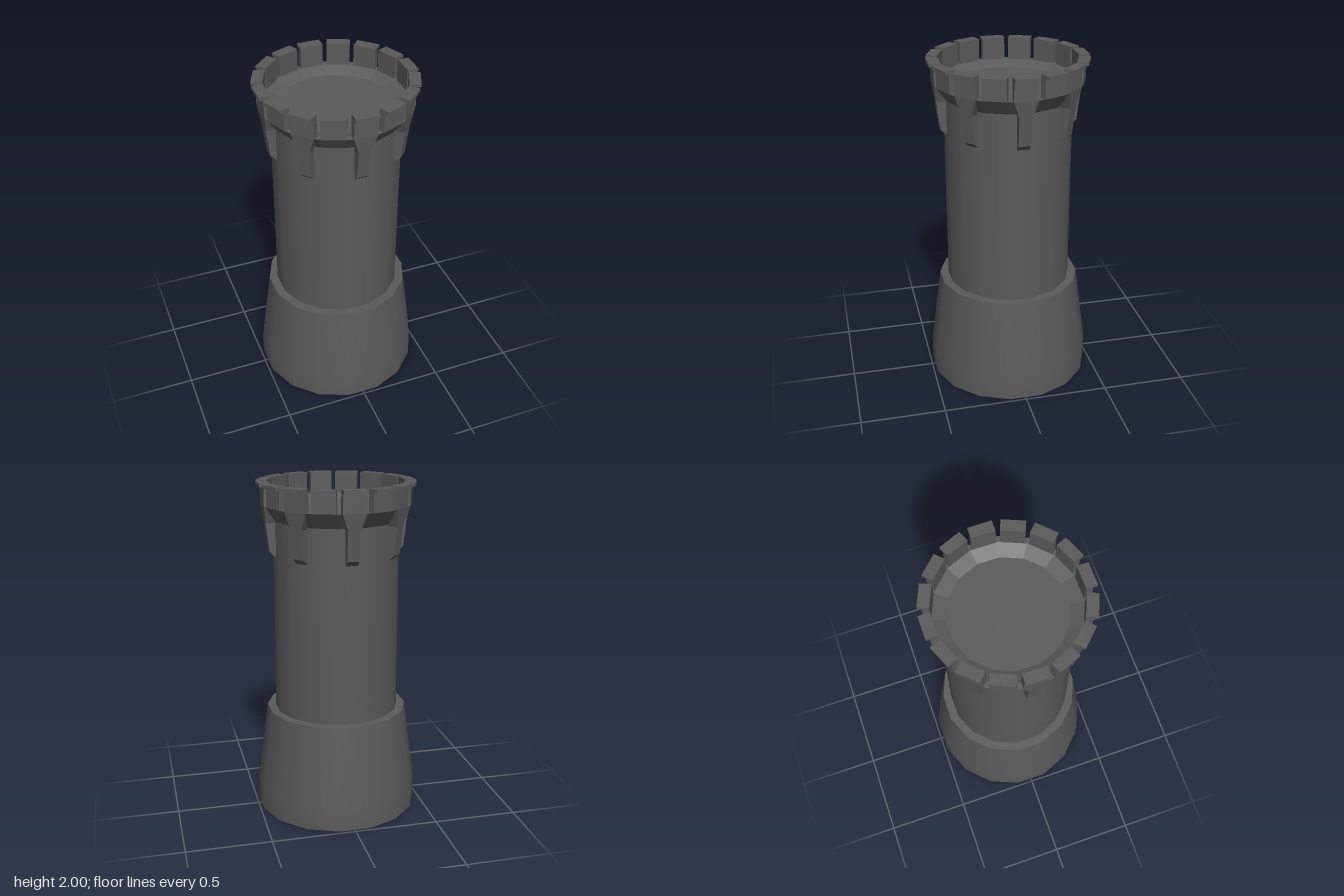
import * as THREE from 'three';

const SIDES = 16;
const STEP = (Math.PI * 2) / SIDES;

export function createModel() {
  const model = new THREE.Group();
  model.name = 'tower';
  const stone = new THREE.MeshStandardMaterial({ color: 0x5a5a5a, side: THREE.DoubleSide });
  stone.name = 'dark stone';

  const add = (name, geometry, parent = model) => {
    const mesh = new THREE.Mesh(geometry, stone);
    mesh.name = name;
    parent.add(mesh);
    return mesh;
  };

  // Sixteen-sided ring from [distance to flat side, height] points
  const ring = (name, profile, flat = false) => {
    const points = profile.map(([r, y]) => new THREE.Vector2(r / Math.cos(STEP / 2), y));
    let geometry = new THREE.LatheGeometry(points, SIDES, STEP / 2);
    if (flat) {
      geometry = geometry.toNonIndexed();
      geometry.computeVertexNormals();
    }
    return add(name, geometry);
  };

  // Walls, open underneath
  ring('base', [[0.48, 0], [0.48, 0.14], [0.415, 0.63]]);
  ring('baseLedge', [[0.415, 0.63], [0.365, 0.63]]);
  ring('shaft', [[0.365, 0.63], [0.365, 1.78]]);
  ring('flare', [[0.365, 1.78], [0.43, 1.87]], true);

  // Platform inside the battlements
  ring('rim', [[0.43, 1.87], [0.395, 1.87]]);
  ring('platformSlope', [[0.395, 1.87], [0.32, 1.84]], true);
  ring('platformFloor', [[0.32, 1.84], [0, 1.84]]);

  // Merlons with a thin overhanging cap
  const body = new THREE.BoxGeometry(0.135, 0.11, 0.04).translate(0, 1.925, 0.415);
  const cap = new THREE.BoxGeometry(0.135, 0.02, 0.065).translate(0, 1.99, 0.4275);
  for (let i = 0; i < SIDES; i++) {
    const merlon = new THREE.Group();
    merlon.name = 'merlon' + (i + 1);
    merlon.rotation.y = i * STEP;
    add('merlonBody', body, merlon);
    add('merlonCap', cap, merlon);
    model.add(merlon);
  }

  // Corbels under every second merlon
  const corbel = corbelGeometry();
  for (let i = 0; i < SIDES; i += 2) {
    add('corbel' + (i / 2 + 1), corbel).rotation.y = i * STEP;
  }
  return model;
}

// Bracket lofted through rectangles: height, inner depth, outer depth, half width
function corbelGeometry() {
  const sections = [
    [1.572, 0.35, 0.367, 0.035],
    [1.603, 0.35, 0.402, 0.035],
    [1.77, 0.35, 0.422, 0.035],
    [1.87, 0.41, 0.435, 0.0675],
  ];
  const positions = [];
  const index = [];
  for (const [y, inner, outer, w] of sections) {
    positions.push(-w, y, outer, w, y, outer, w, y, inner, -w, y, inner);
  }
  for (let s = 0; s < sections.length - 1; s++) {
    for (let k = 0; k < 4; k++) {
      const a = s * 4 + k;
      const b = s * 4 + ((k + 1) % 4);
      index.push(a, b, b + 4, a, b + 4, a + 4);
    }
  }
  index.push(0, 3, 2, 0, 2, 1);
  const indexed = new THREE.BufferGeometry();
  indexed.setAttribute('position', new THREE.Float32BufferAttribute(positions, 3));
  indexed.setIndex(index);
  const geometry = indexed.toNonIndexed();
  geometry.computeVertexNormals();
  return geometry;
}
